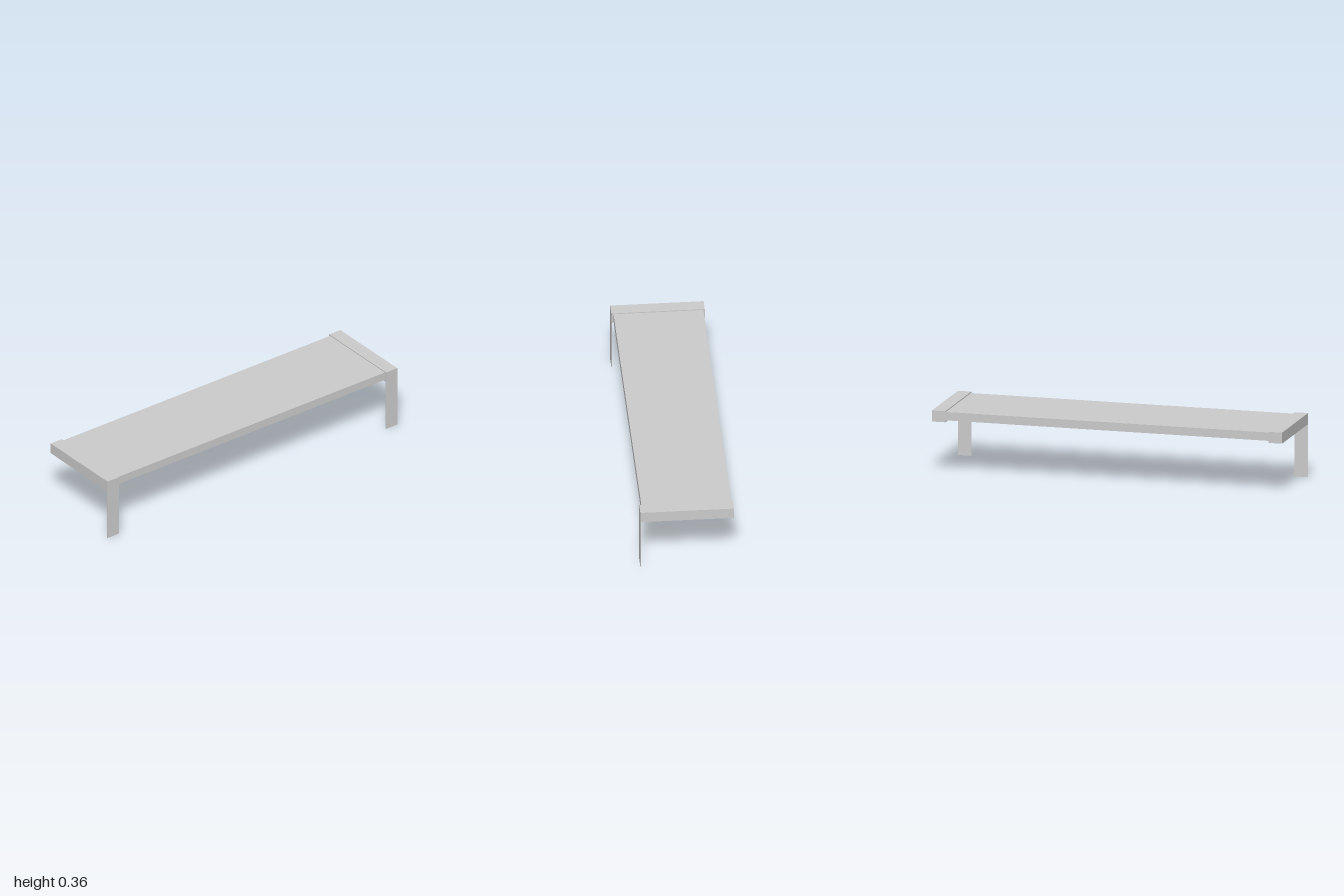
import * as THREE from 'three';

const HALF_WIDTH = 0.257, TOP = 0.36, UNDERSIDE = 0.298, STRAP = 0.004;
const BRACKET_DEPTH = 0.077;

export function createModel() {
  const model = new THREE.Group();
  model.name = 'shelf';
  const material = new THREE.MeshStandardMaterial({ color: 0xcccccc });

  // long flat board, its ends held inside the brackets
  const board = new THREE.Mesh(new THREE.BoxGeometry(0.494, 0.047, 1.98), material);
  board.name = 'board';
  board.position.set(-0.002, 0.331, 0);
  model.add(board);

  // bracket outline: end cap with a thin strap leg hanging from its left edge
  const outline = new THREE.Shape([
    [-HALF_WIDTH, UNDERSIDE],
    [HALF_WIDTH - STRAP, UNDERSIDE],
    [HALF_WIDTH - STRAP, 0],
    [HALF_WIDTH, 0],
    [HALF_WIDTH, TOP],
    [-HALF_WIDTH, TOP],
  ].map(([x, y]) => new THREE.Vector2(x, y)));
  const bracketGeometry = new THREE.ExtrudeGeometry(outline, { depth: BRACKET_DEPTH, bevelEnabled: false });

  // one bracket at each end
  for (const [name, z] of [['frontBracket', 1 - BRACKET_DEPTH], ['backBracket', -1]]) {
    const bracket = new THREE.Mesh(bracketGeometry, material);
    bracket.name = name;
    bracket.position.z = z;
    model.add(bracket);
  }

  return model;
}
